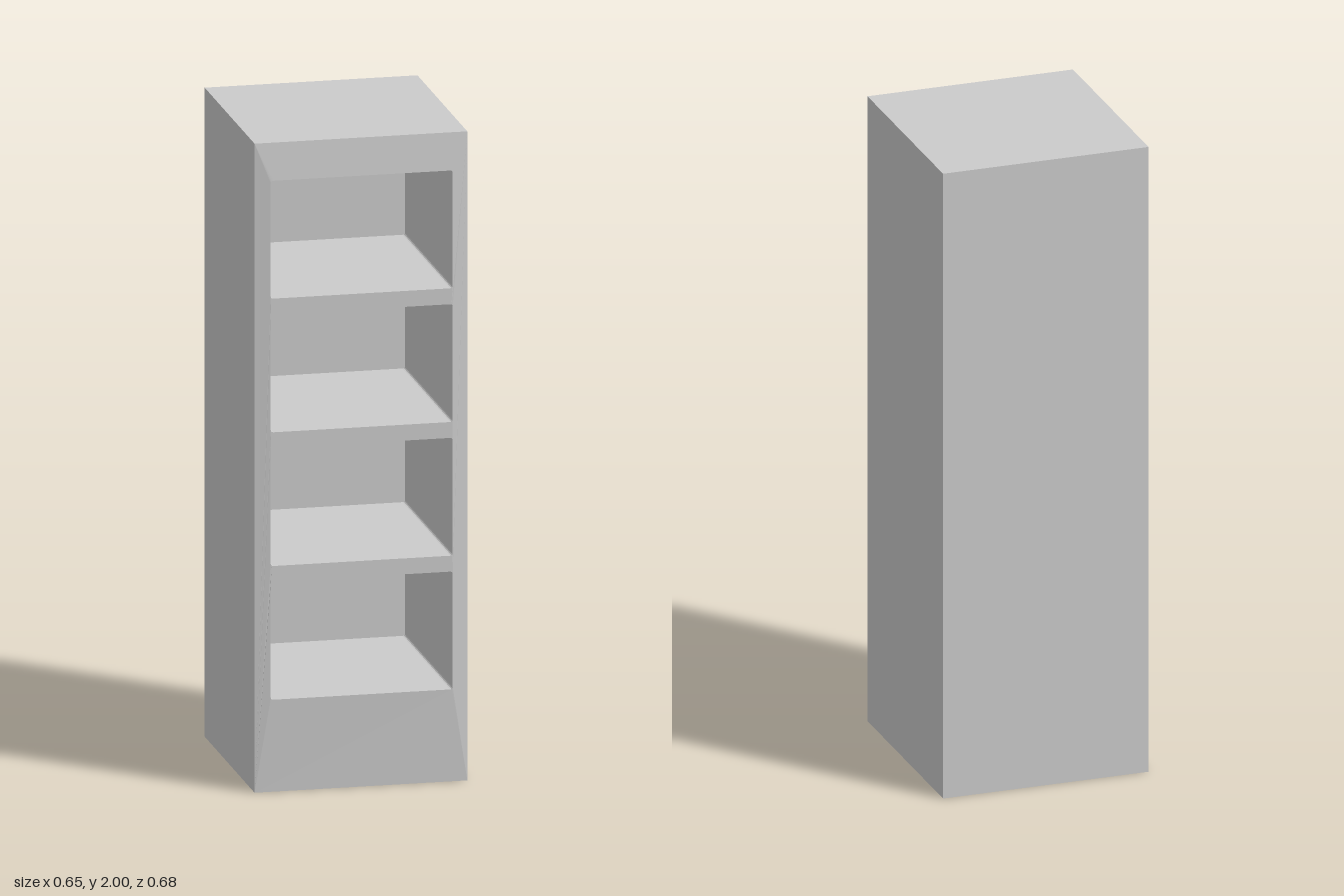
import * as THREE from 'three';

const HALF_W = 0.325, HEIGHT = 2;
const BACK = -0.34, CAVITY_BACK = -0.3, RIM = 0.33, FRONT = 0.34;
const OPEN_HALF_W = 0.278, OPEN_H = 0.363, FIRST_Y = 0.286, PITCH = 0.412;

// Rectangle with slightly rounded corners, traced as a hole
function roundedOpening(x0, y0, x1, y1, r) {
  const p = new THREE.Path();
  p.moveTo(x0 + r, y0);
  p.lineTo(x1 - r, y0);
  p.quadraticCurveTo(x1, y0, x1, y0 + r);
  p.lineTo(x1, y1 - r);
  p.quadraticCurveTo(x1, y1, x1 - r, y1);
  p.lineTo(x0 + r, y1);
  p.quadraticCurveTo(x0, y1, x0, y1 - r);
  p.lineTo(x0, y0 + r);
  p.quadraticCurveTo(x0, y0, x0 + r, y0);
  return p;
}

export function createModel() {
  const group = new THREE.Group();
  group.name = 'shelfCabinet';
  const material = new THREE.MeshStandardMaterial({ color: 0xcccccc, flatShading: true });

  // Carcass: a solid block pierced by four stacked compartments
  const shape = new THREE.Shape();
  shape.moveTo(-HALF_W, 0);
  shape.lineTo(HALF_W, 0);
  shape.lineTo(HALF_W, HEIGHT);
  shape.lineTo(-HALF_W, HEIGHT);
  shape.closePath();
  for (let i = 0; i < 4; i++) {
    const y = FIRST_Y + i * PITCH;
    shape.holes.push(roundedOpening(-OPEN_HALF_W, y, OPEN_HALF_W, y + OPEN_H, 0.008));
  }
  const carcassGeo = new THREE.ExtrudeGeometry(shape, {
    depth: FRONT - CAVITY_BACK, bevelEnabled: false, curveSegments: 3,
  });
  carcassGeo.translate(0, 0, CAVITY_BACK);

  // Draw the outer front edge back so the face slopes gently to the sides
  const pos = carcassGeo.attributes.position;
  for (let i = 0; i < pos.count; i++) {
    const onEdge = Math.abs(pos.getX(i)) > HALF_W - 0.001;
    if (onEdge && pos.getZ(i) > 0) pos.setZ(i, RIM);
  }
  carcassGeo.computeVertexNormals();
  const carcass = new THREE.Mesh(carcassGeo, material);
  carcass.name = 'carcass';
  group.add(carcass);

  // Back panel closing the compartments
  const thickness = CAVITY_BACK - BACK;
  const back = new THREE.Mesh(new THREE.BoxGeometry(HALF_W * 2, HEIGHT, thickness), material);
  back.name = 'backPanel';
  back.position.set(0, HEIGHT / 2, BACK + thickness / 2);
  group.add(back);

  return group;
}
